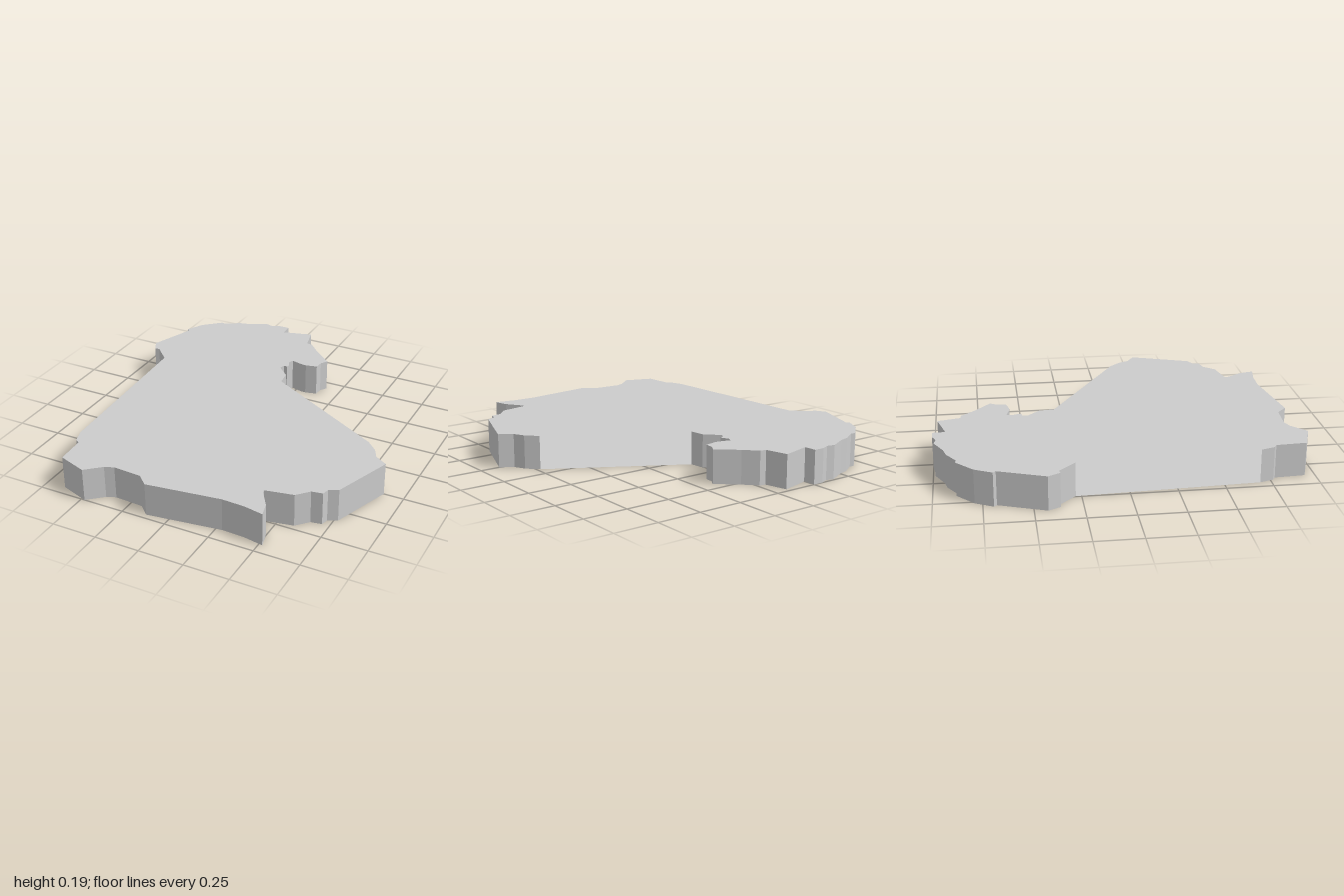
import * as THREE from 'three';

const HEIGHT = 0.185;

// Outline as x, z pairs, clockwise seen from above.
// The long straight edges joining the two runs have no wall.
const headRun = [
  -0.745, -0.28, -0.835, -0.37, -0.86, -0.365, -0.895, -0.43, -0.80, -0.68,
  -0.815, -0.695, -0.765, -0.79, -0.665, -0.88, -0.64, -0.875, -0.56, -0.925,
  -0.5, -0.94, -0.4, -0.99, -0.355, -0.98, -0.31, -1, -0.25, -1,
  -0.247, -0.93, -0.08, -0.975, -0.05, -0.85, -0.015, -0.845, 0.05, -0.775,
  0.16, -0.68, 0.135, -0.64, 0.13, -0.59, 0.065, -0.575, 0.035, -0.577,
  -0.03, -0.595, -0.042, -0.565, -0.025, -0.525, -0.03, -0.51, -0.05, -0.51,
  -0.06, -0.48, 0.01, -0.41, 0.02, -0.325,
];
const bodyRun = [
  0.73, 0.085, 0.79, 0.145, 0.82, 0.205, 0.89, 0.25, 0.77, 0.58,
  0.72, 0.605, 0.71, 0.645, 0.65, 0.655, 0.59, 0.72, 0.435, 0.75,
  0.44, 0.77, 0.5, 0.86, 0.52, 0.94, 0.41, 0.92, 0.285, 0.915,
  -0.125, 0.97, -0.185, 0.915, -0.345, 0.905, -0.395, 0.925, -0.48, 1,
  -0.64, 0.945, -0.65, 0.78, -0.675, 0.765, -0.7, 0.69,
];

function toPoints(run) {
  const points = [];
  for (let i = 0; i < run.length; i += 2) points.push(new THREE.Vector2(run[i], run[i + 1]));
  return points;
}

// Upright strip of flat panels along an open run of points
function wallGeometry(points) {
  const positions = [];
  for (let i = 0; i + 1 < points.length; i++) {
    const a = points[i], b = points[i + 1];
    positions.push(a.x, 0, a.y, a.x, HEIGHT, a.y, b.x, HEIGHT, b.y);
    positions.push(a.x, 0, a.y, b.x, HEIGHT, b.y, b.x, 0, b.y);
  }
  const geometry = new THREE.BufferGeometry();
  geometry.setAttribute('position', new THREE.Float32BufferAttribute(positions, 3));
  geometry.computeVertexNormals();
  return geometry;
}

export function createModel() {
  const group = new THREE.Group();
  group.name = 'hollowSlab';
  const material = new THREE.MeshStandardMaterial({
    color: 0xcccccc, flatShading: true, side: THREE.DoubleSide,
  });
  const add = (name, geometry) => {
    const mesh = new THREE.Mesh(geometry, material);
    mesh.name = name;
    group.add(mesh);
  };

  const head = toPoints(headRun), body = toPoints(bodyRun);
  const outline = [...head, ...body];

  // Top and bottom plates
  const topShape = new THREE.Shape(outline.map((p) => new THREE.Vector2(p.x, -p.y)));
  add('topPlate', new THREE.ShapeGeometry(topShape).rotateX(-Math.PI / 2).translate(0, HEIGHT, 0));
  add('bottomPlate', new THREE.ShapeGeometry(new THREE.Shape(outline)).rotateX(Math.PI / 2));

  // Rim walls, open along the two long edges
  add('backWall', wallGeometry(head));
  add('frontWall', wallGeometry(body));
  return group;
}
